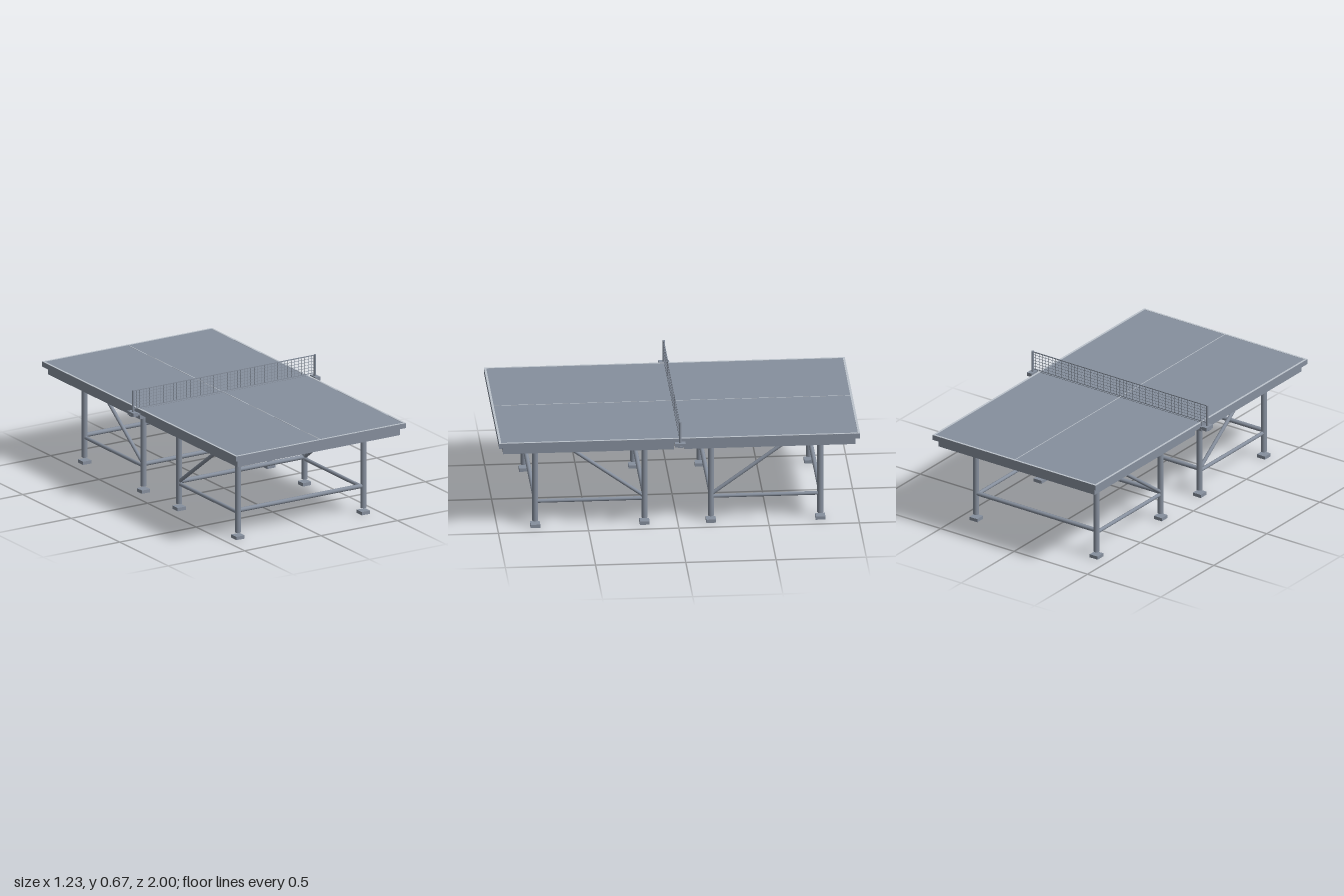
import * as THREE from 'three';
import { mergeGeometries } from 'three/addons/utils/BufferGeometryUtils.js';

export function createModel() {
  const model = new THREE.Group();
  model.name = 'tableTennisTable';
  const slate = new THREE.MeshStandardMaterial({ color: 0x868f9d });
  const paint = new THREE.MeshStandardMaterial({ color: 0xbcc3cc });

  const add = (parent, name, geometry, material = slate) => {
    const mesh = new THREE.Mesh(geometry, material);
    mesh.name = name;
    parent.add(mesh);
  };
  // Box given by its minimum and maximum along each axis
  const box = (x0, x1, y0, y1, z0, z1) =>
    new THREE.BoxGeometry(x1 - x0, y1 - y0, z1 - z0)
      .translate((x0 + x1) / 2, (y0 + y1) / 2, (z0 + z1) / 2);
  // Round bar between two points
  const bar = (a, b, radius) => {
    const from = new THREE.Vector3(...a), to = new THREE.Vector3(...b);
    const dir = to.clone().sub(from);
    const turn = new THREE.Quaternion().setFromUnitVectors(
      new THREE.Vector3(0, 1, 0), dir.clone().normalize());
    const mid = from.add(to).multiplyScalar(0.5);
    return new THREE.CylinderGeometry(radius, radius, dir.length(), 16)
      .applyQuaternion(turn).translate(mid.x, mid.y, mid.z);
  };

  const W = 0.556, TOP = 0.557, UNDER = 0.528, APRON = 0.485;
  const LEG_X = 0.41, LEG_IN = 0.184, LEG_OUT = 0.79;

  for (const s of [1, -1]) {
    const half = new THREE.Group();
    half.name = s > 0 ? 'frontHalf' : 'backHalf';
    model.add(half);
    // Mirrored depth range, nearest the net first
    const zBox = (x0, x1, y0, y1, a, b) =>
      box(x0, x1, y0, y1, Math.min(s * a, s * b), Math.max(s * a, s * b));

    // Playing surface and the slab under it
    add(half, 'tabletop', zBox(-W, W, UNDER, TOP, 0.002, 1));
    add(half, 'apron', zBox(-0.532, 0.532, APRON, UNDER, 0.03, 0.976));

    // Painted lines, slightly raised
    const l0 = TOP - 0.001, l1 = TOP + 0.001;
    add(half, 'centreLine', zBox(-0.002, 0.002, l0, l1, 0.002, 0.988), paint);
    add(half, 'endLine', zBox(-W, W, l0, l1, 0.988, 1), paint);
    for (const x of [1, -1]) {
      const a = x * W, b = x * (W - 0.012);
      add(half, 'sideLine', zBox(Math.min(a, b), Math.max(a, b), l0, l1, 0.002, 0.988), paint);
    }

    // Undercarriage
    for (const x of [LEG_X, -LEG_X]) {
      for (const z of [s * LEG_IN, s * LEG_OUT]) {
        add(half, 'leg', bar([x, 0.035, z], [x, APRON + 0.005, z], 0.017));
        add(half, 'foot', box(x - 0.027, x + 0.027, 0, 0.019, z - 0.027, z + 0.027));
      }
      add(half, 'sideRail', bar([x, 0.15, s * LEG_IN], [x, 0.15, s * LEG_OUT], 0.0105));
      add(half, 'brace', bar([x, 0.162, s * LEG_IN], [x, 0.477, s * 0.62], 0.0105));
    }
    for (const z of [s * LEG_IN, s * LEG_OUT])
      add(half, 'crossRail', bar([-LEG_X, 0.162, z], [LEG_X, 0.162, z], 0.0125));
  }

  // Net: cords between two tapes
  const net = new THREE.Group();
  net.name = 'netAssembly';
  model.add(net);
  const NET_X = 0.595, N0 = 0.567, N1 = 0.67, t = 0.001;
  const cords = [];
  const columns = 54, rows = 6;
  for (let i = 1; i < columns; i++) {
    const x = -NET_X + (2 * NET_X * i) / columns;
    cords.push(box(x - t, x + t, N0, N1, -t, t));
  }
  for (let j = 1; j < rows; j++) {
    const y = N0 + ((N1 - N0) * j) / rows;
    cords.push(box(-NET_X, NET_X, y - t, y + t, -t, t));
  }
  add(net, 'netMesh', mergeGeometries(cords));
  add(net, 'topTape', box(-NET_X, NET_X, N1 - 0.003, N1 + 0.002, -0.002, 0.002));
  add(net, 'bottomTape', box(-NET_X, NET_X, N0 - 0.002, N0 + 0.002, -0.002, 0.002));

  // Posts and clamps at both ends of the net
  for (const s of [1, -1]) {
    const xBox = (a, b, ...rest) => box(Math.min(s * a, s * b), Math.max(s * a, s * b), ...rest);
    add(net, 'netPost', bar([s * 0.595, 0.535, 0], [s * 0.595, 0.673, 0], 0.007));
    add(net, 'clampBlock', xBox(0.581, 0.612, 0.528, 0.549, -0.03, 0.03));
    add(net, 'clampArm', xBox(0.53, 0.613, 0.525, 0.535, -0.013, 0.013));
  }
  return model;
}
